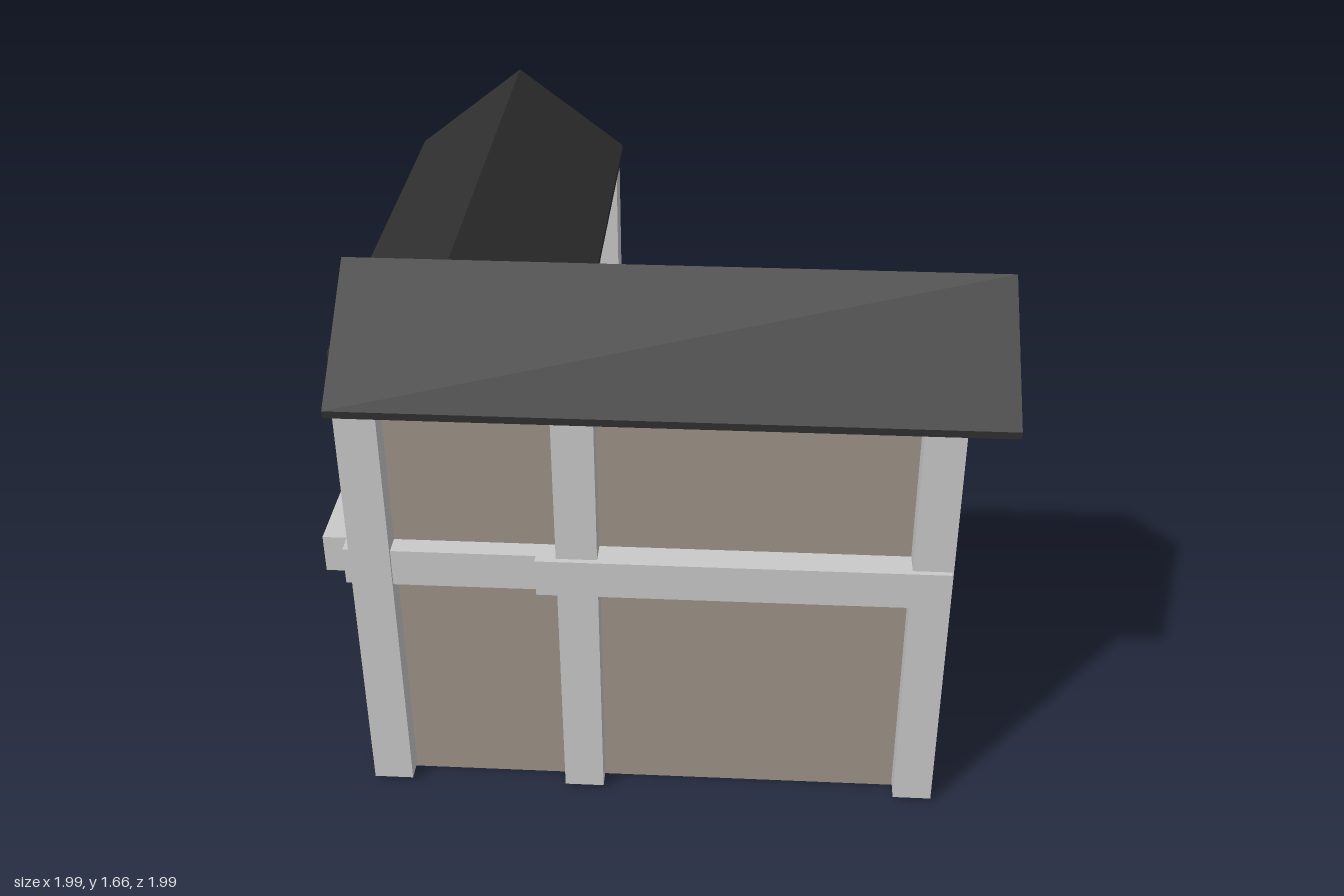
import * as THREE from 'three';

const mat = (name, color) => {
  const m = new THREE.MeshStandardMaterial({ color });
  m.name = name;
  return m;
};

export function createModel() {
  const model = new THREE.Group();
  model.name = 'house';
  const plaster = mat('plaster', 0x9e9488);
  const trim = mat('pale trim', 0xcacaca);
  const dark = mat('dark slate', 0x2f2f2f);
  const earth = mat('brown earth', 0x573921);
  const iron = mat('grey iron', 0x5a5a5a);

  const add = (name, geo, material, parent = model) => {
    const mesh = new THREE.Mesh(geo, material);
    mesh.name = name;
    parent.add(mesh);
    return mesh;
  };
  // Box given by its extents on each axis
  const box = (name, m, x0, x1, y0, y1, z0, z1) => {
    const g = new THREE.BoxGeometry(x1 - x0, y1 - y0, z1 - z0);
    g.translate((x0 + x1) / 2, (y0 + y1) / 2, (z0 + z1) / 2);
    return add(name, g, m);
  };

  // Walls of the two wings and the raised yard
  box('frontWingWalls', plaster, -0.91, 0.86, 0, 1.35, 0.32, 0.91);
  box('backWingWalls', plaster, -0.91, -0.33, 0, 1.34, -0.855, 0.32);
  box('yard', earth, -0.33, 0.87, 0.005, 0.3, -0.87, 0.32);

  // Gable roof: closed pentagon section extruded along z
  const roof = (name, halfWidth, base, eave, ridge, length) => {
    const s = new THREE.Shape([
      [-halfWidth, base], [halfWidth, base], [halfWidth, eave], [0, ridge], [-halfWidth, eave],
    ].map(([x, y]) => new THREE.Vector2(x, y)));
    const g = new THREE.ExtrudeGeometry(s, { depth: length, bevelEnabled: false });
    return add(name, g, dark);
  };
  const frontRoof = roof('frontWingRoof', 0.375, 1.35, 1.372, 1.66, 1.915);
  frontRoof.rotation.y = Math.PI / 2;
  frontRoof.position.set(-0.915, 0, 0.615);
  const backRoof = roof('backWingRoof', 0.372, 1.33, 1.352, 1.64, 1.625);
  backRoof.position.set(-0.622, 0, -0.995);
  backRoof.rotation.y = 0.004;

  // Timber posts
  for (const [x0, x1, z0, z1] of [
    [-0.89, -0.77, 0.9, 0.98],
    [-0.285, -0.165, 0.9, 0.98],
    [0.74, 0.857, 0.9, 0.98],
    [0.74, 0.864, 0.24, 0.325],
    [-0.335, -0.25, 0.24, 0.325],
    [-0.335, -0.25, -0.858, -0.735],
    [-0.985, -0.9, -0.858, -0.735],
  ]) box('post', trim, x0, x1, 0.015, 1.35, z0, z1);

  // Horizontal beams between the floors
  for (const [x0, x1, z0, z1] of [
    [-0.91, -0.345, 0.9, 0.97],
    [-0.345, 0.852, 0.9, 0.996],
    [-0.982, -0.9, -0.74, 0.912],
    [-0.335, -0.26, -0.74, 0.325],
    [-0.335, 0.745, 0.255, 0.325],
  ]) box('beam', trim, x0, x1, 0.77, 0.89, z0, z1);

  // Window: thin frame around a slightly recessed pane, facing local +z
  const windowUnit = (w, h, border, x, y, z, angle) => {
    const unit = new THREE.Group();
    unit.name = 'window';
    const rect = (T, a, b) => new T([
      [-a, -b], [a, -b], [a, b], [-a, b],
    ].map(([px, py]) => new THREE.Vector2(px, py)));
    const s = rect(THREE.Shape, w / 2, h / 2);
    const pw = w / 2 - border, ph = h / 2 - border;
    s.holes.push(rect(THREE.Path, pw, ph));
    add('windowFrame', new THREE.ExtrudeGeometry(s, { depth: 0.014, bevelEnabled: false }), trim, unit);
    const pane = new THREE.BoxGeometry(pw * 2, ph * 2, 0.005);
    pane.translate(0, 0, 0.003);
    add('windowPane', pane, dark, unit);
    unit.position.set(x, y, z);
    unit.rotation.y = angle;
    model.add(unit);
  };
  const toRight = Math.PI / 2;
  for (const y of [0.525, 1.042]) windowUnit(0.3, 0.408, 0.062, 0.86, y, 0.598, toRight);
  for (const z of [0.065, -0.292, -0.622]) windowUnit(0.245, 0.335, 0.054, -0.33, 1.102, z, toRight);
  windowUnit(0.3, 0.408, 0.062, -0.6, 0.925, -0.855, Math.PI);

  // Doors opening on to the yard
  box('sideDoor', dark, -0.331, -0.324, 0.3, 0.76, -0.49, -0.14);
  box('rearDoor', dark, 0.13, 0.48, 0.3, 0.76, 0.314, 0.321);

  // Open barrel with a rim and a sunken floor
  const profile = [[0, 0.3], [0.115, 0.3], [0.115, 0.522], [0.09, 0.522], [0.09, 0.44], [0, 0.44]];
  // Doubled points keep the edges sharp
  const barrel = new THREE.Group();
  barrel.name = 'barrel';
  barrel.position.set(0.27, 0, -0.3);
  for (let i = 1; i < profile.length; i++) {
    const pts = [profile[i - 1], profile[i]].map(([r, y]) => new THREE.Vector2(r, y));
    add('barrelSurface', new THREE.LatheGeometry(pts, 32), iron, barrel);
  }
  model.add(barrel);

  return model;
}
